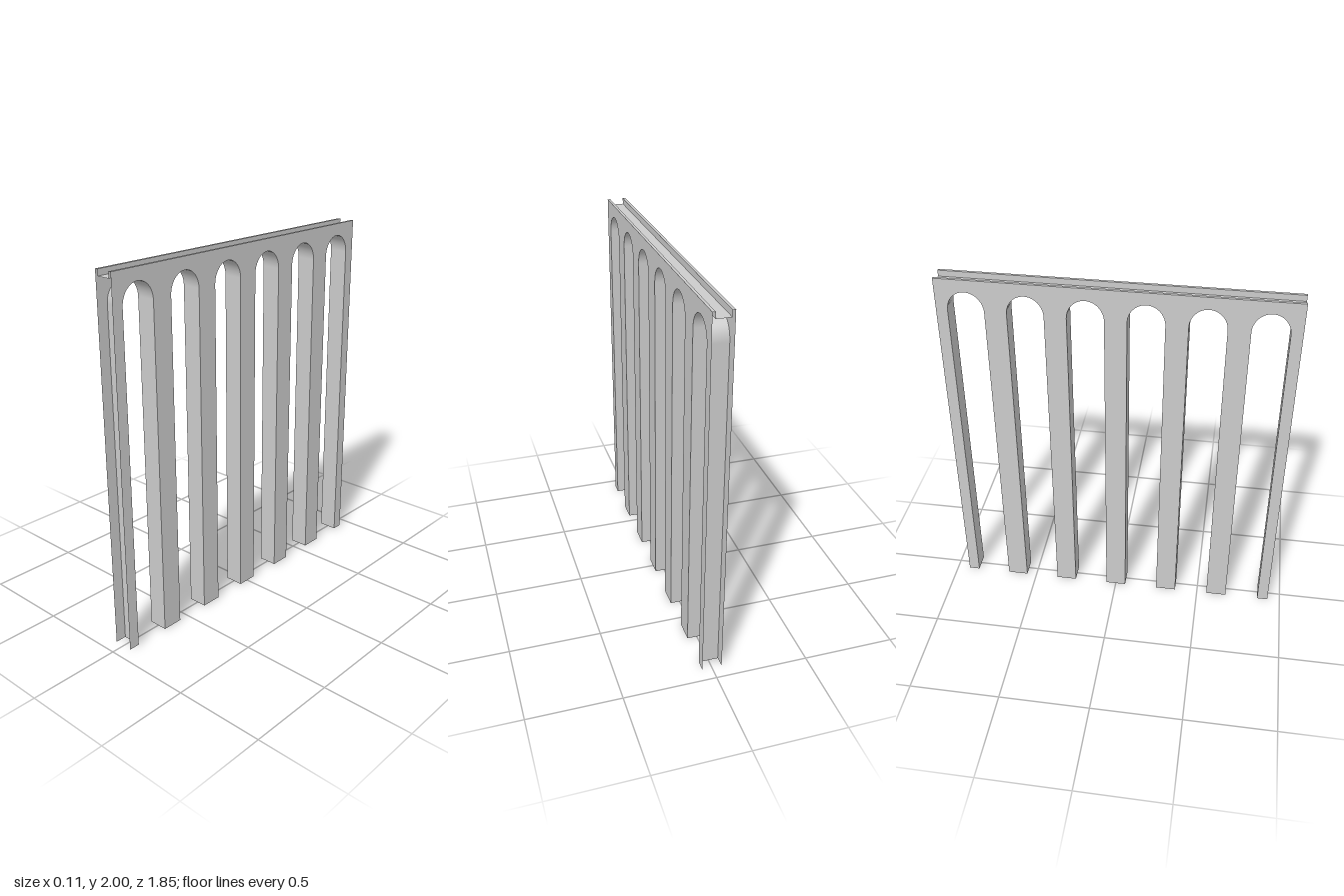
import * as THREE from 'three';

const HALF_W = 0.053;   // half thickness across x
const HALF_L = 0.927;   // half length along z
const TOP = 2;
const PITCH = 0.308;    // spacing of the arches
const ARCH_R = 0.096;   // half width of an opening
const SPRING = 1.825;   // where the curve of an arch begins
const RISE = 0.108;
const CENTRES = [-2.5, -1.5, -0.5, 0.5, 1.5, 2.5].map((i) => i * PITCH);

const material = new THREE.MeshStandardMaterial({ color: 0xcccccc, side: THREE.DoubleSide });

function part(name, geometry) {
  const mesh = new THREE.Mesh(geometry, material);
  mesh.name = name;
  return mesh;
}

// Outline of one arched opening, (z, y) from foot to foot
function archPoints(c) {
  const pts = [new THREE.Vector2(c - ARCH_R, 0)];
  const n = 24;
  for (let i = 0; i <= n; i++) {
    const a = Math.PI * (1 - i / n);
    pts.push(new THREE.Vector2(c + ARCH_R * Math.cos(a), SPRING + RISE * Math.sin(a)));
  }
  pts.push(new THREE.Vector2(c + ARCH_R, 0));
  return pts;
}

// Thin strip: a profile swept straight between two ends; place(p, end) gives [x, y, z]
function strip(points, place) {
  const geo = new THREE.PlaneGeometry(1, 1, points.length - 1, 1);
  const pos = geo.attributes.position;
  for (let row = 0; row < 2; row++) {
    points.forEach((p, i) => pos.setXYZ(row * points.length + i, ...place(p, row ? 1 : -1)));
  }
  geo.computeVertexNormals();
  return geo;
}

// Side sheet with the openings cut from its lower edge
function sideSheet() {
  const outline = [new THREE.Vector2(-HALF_L, 0)];
  for (const c of CENTRES) outline.push(...archPoints(c));
  outline.push(
    new THREE.Vector2(HALF_L, 0),
    new THREE.Vector2(HALF_L, TOP),
    new THREE.Vector2(-HALF_L, TOP)
  );
  return new THREE.ShapeGeometry(new THREE.Shape(outline));
}

export function createModel() {
  const group = new THREE.Group();
  group.name = 'arcade';

  // Two side sheets
  for (const side of [1, -1]) {
    const sheet = part(side > 0 ? 'leftSide' : 'rightSide', sideSheet().rotateY(side * Math.PI / 2));
    sheet.position.x = side * HALF_W;
    group.add(sheet);
  }

  // Inner lining of every opening; legs stay hollow and open below
  for (const c of CENTRES) {
    group.add(part('archLining', strip(archPoints(c), (p, e) => [e * HALF_W, p.y, p.x])));
  }

  // Grooved cap along the top, open at both ends
  const lip = 0.038;
  const floor = 1.967;
  const cap = [[-HALF_W, TOP], [-lip, TOP], [-lip, floor], [lip, floor], [lip, TOP], [HALF_W, TOP]]
    .map(([x, y]) => new THREE.Vector2(x, y));
  const capGeo = strip(cap, (p, e) => [p.x, p.y, e * HALF_L]).toNonIndexed();
  capGeo.computeVertexNormals();
  group.add(part('groovedCap', capGeo));

  return group;
}
